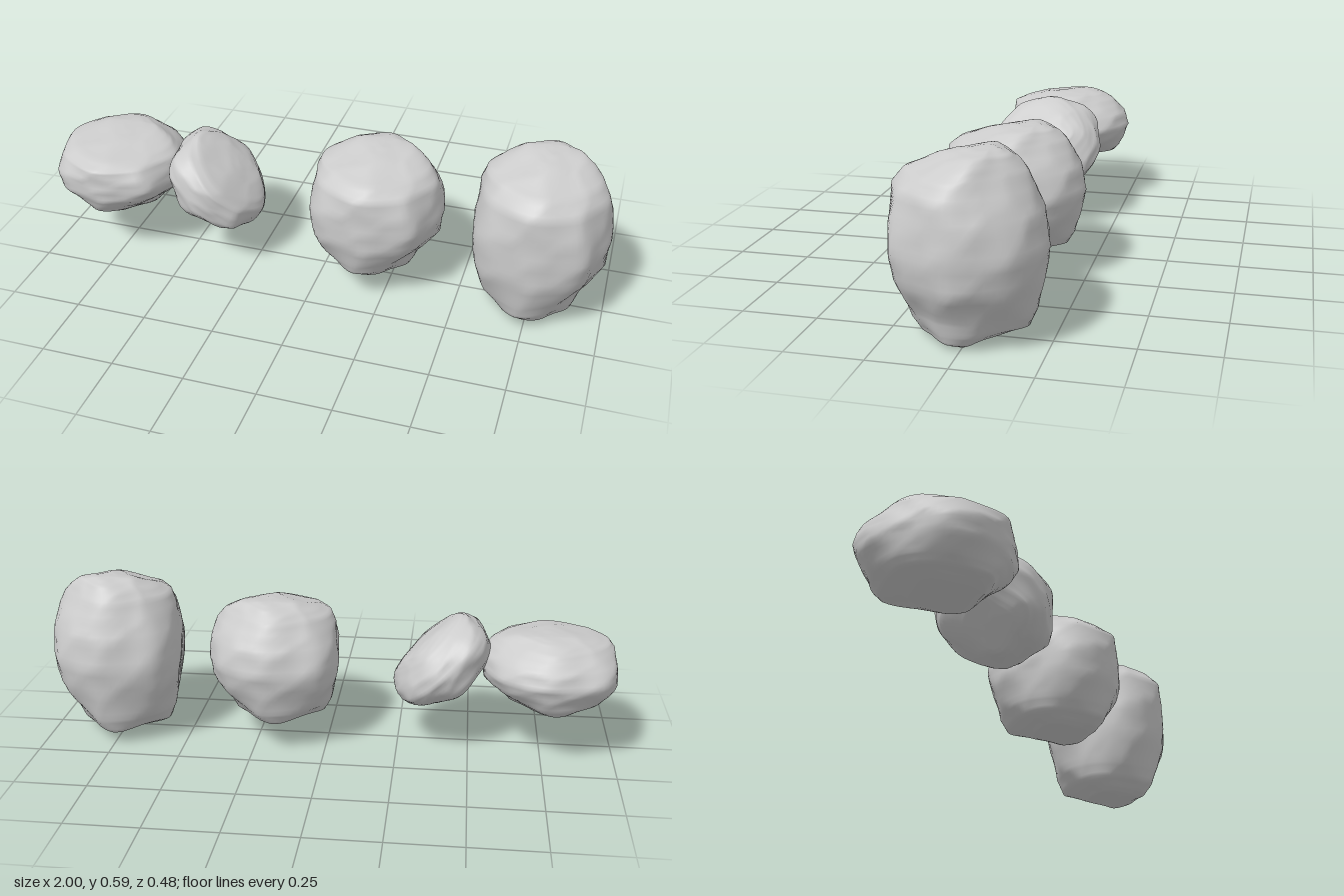
import * as THREE from 'three';

// Plan outline of the boulder (x, z), about one unit in radius
const OUTLINE = [[1.01, 0], [.87, .44], [.68, .79], [.3, .94], [0, .99], [-.53, .89], [-.83, .7], [-.94, .45], [-.96, .1],
  [-1, -.2], [-.93, -.54], [-.78, -.79], [-.4, -.92], [.05, -1], [.4, -.91], [.59, -.81], [.76, -.65], [.92, -.32]];

// Extents by height: y, x min, x max, z min, z max
const ROWS = [
  [.003, 0, 0, 0, 0],
  [.008, -.11, .10, -.08, .12],
  [.02, -.135, .125, -.11, .155],
  [.05, -.185, .142, -.175, .19],
  [.10, -.207, .16, -.203, .207],
  [.20, -.226, .215, -.225, .233],
  [.30, -.234, .232, -.24, .24],
  [.40, -.228, .223, -.225, .237],
  [.47, -.22, .207, -.2, .232],
  [.52, -.205, .18, -.175, .19],
  [.55, -.16, .145, -.152, .115],
  [.575, -.09, .10, -.13, .05],
  [.588, -.03, .05, -.1, 0],
  [.59, 0, 0, -.05, -.05],
];
const MID = 0.296;
const AROUND = 72, STEPS = 4;

// Evenly spread directions, slightly jittered, that chip the surface into shallow facets
function facetDirections(count) {
  let seed = 11;
  const rand = () => (seed = (seed * 16807) % 2147483647) / 2147483647 - 0.5;
  return Array.from({ length: count }, (_, i) => {
    const y = 1 - (2 * i + 1) / count, r = Math.sqrt(1 - y * y), a = i * 2.39996;
    return new THREE.Vector3(r * Math.cos(a) + rand() * .25, y + rand() * .25, r * Math.sin(a) + rand() * .25).normalize();
  });
}

function boulderGeometry() {
  const curve = new THREE.CatmullRomCurve3(OUTLINE.map(([x, z]) => new THREE.Vector3(x, 0, z)), true);
  const ring = curve.getSpacedPoints(AROUND).slice(0, AROUND);
  const facets = facetDirections(60);
  const positions = [], index = [];
  const count = (ROWS.length - 1) * STEPS + 1;
  const p = new THREE.Vector3(), dir = new THREE.Vector3();

  for (let i = 0; i < count; i++) {
    const k = Math.min(Math.floor(i / STEPS), ROWS.length - 2), t = i / STEPS - k;
    const [y, x0, x1, z0, z1] = ROWS[k].map((v, c) => THREE.MathUtils.lerp(v, ROWS[k + 1][c], t));
    // The outline turns into a rounded diamond towards top and bottom
    const taper = Math.min(1, Math.abs(y - MID) / 0.26) ** 2;
    for (const q of ring) {
      const round = (1 - 0.15 * Math.sin(2 * Math.atan2(q.z, q.x)) ** 2) / q.length();
      const trim = THREE.MathUtils.lerp(1, round, taper);
      p.set((x0 + x1) / 2 + q.x * trim * (x1 - x0) / 2, y - MID, (z0 + z1) / 2 + q.z * trim * (z1 - z0) / 2);
      dir.copy(p).normalize();
      const nearest = Math.max(...facets.map((f) => f.dot(dir)));
      p.multiplyScalar(0.987 + 0.55 * (1 / nearest - 1));
      positions.push(p.x, Math.max(p.y, -MID), p.z);
    }
  }
  for (let i = 0; i < count - 1; i++) {
    for (let j = 0; j < AROUND; j++) {
      const a = i * AROUND + j, b = i * AROUND + (j + 1) % AROUND;
      index.push(a, a + AROUND, b, b, a + AROUND, b + AROUND);
    }
  }
  const geometry = new THREE.BufferGeometry();
  geometry.setAttribute('position', new THREE.Float32BufferAttribute(positions, 3));
  geometry.setIndex(index);
  geometry.computeVertexNormals();
  return geometry;
}

export function createModel() {
  const group = new THREE.Group();
  const geometry = boulderGeometry();
  const material = new THREE.MeshStandardMaterial({ color: 0xcccccc });

  // name, position, scale, tilt about z
  const rocks = [
    ['tallRock', [.765, MID, 0], [1, 1, 1], 0],
    ['roundRock', [.195, .298, 0], [1, .757, 1], 0],
    ['flatRock', [-.767, .298, 0], [1, .455, 1], 0],
    ['leaningRock', [-.397, .29, .012], [.83, .375, .83], -.77],
  ];
  for (const [name, position, scale, tilt] of rocks) {
    const rock = new THREE.Mesh(geometry, material);
    rock.name = name;
    rock.position.set(...position);
    rock.scale.set(...scale);
    rock.rotation.z = tilt;
    group.add(rock);
  }
  return group;
}
